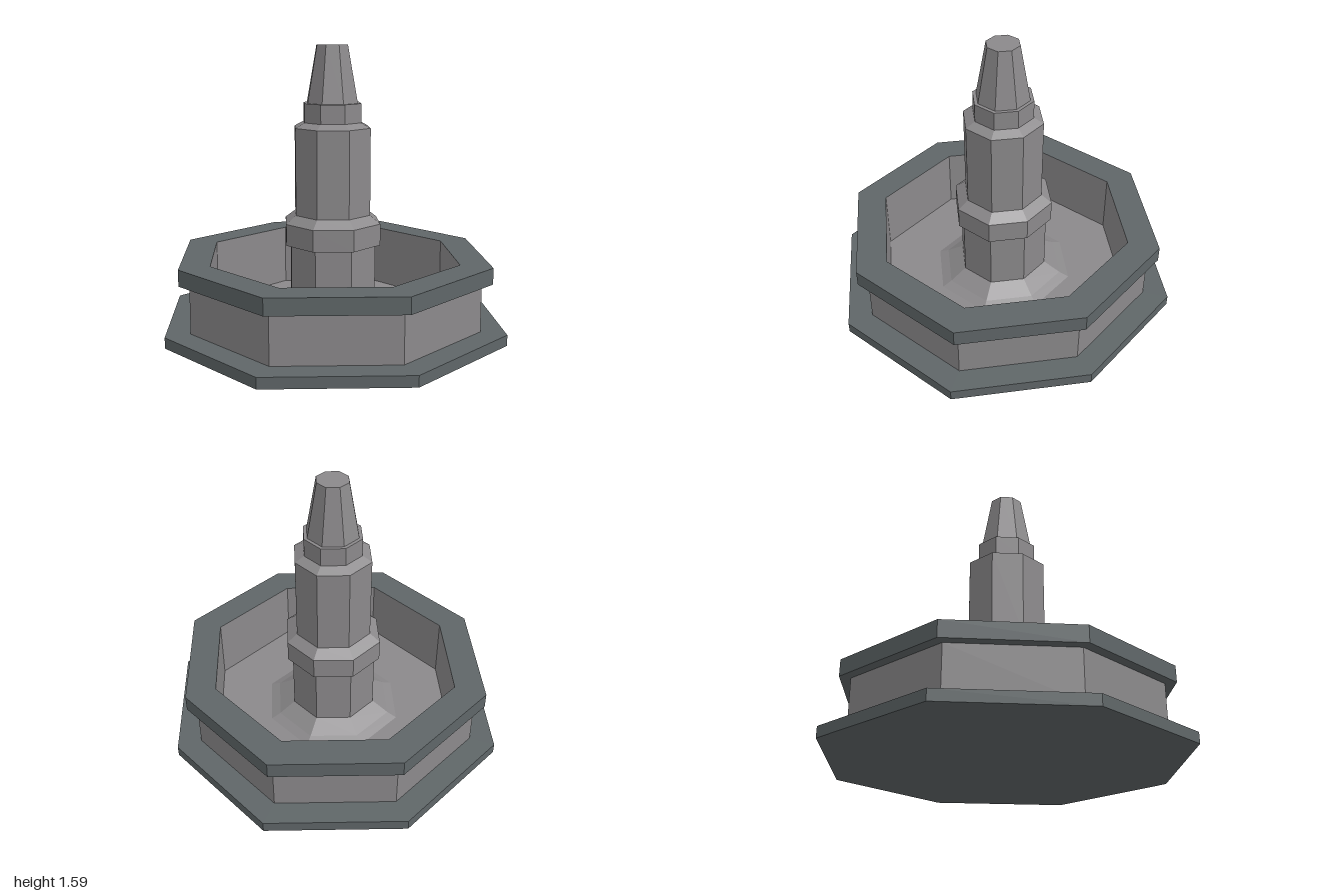
import * as THREE from 'three';

// Eight-sided turned part; the two side corners are pulled in by 3%.
function turned(name, material, profile) {
  const geometry = new THREE.LatheGeometry(profile.map(([r, y]) => new THREE.Vector2(r, y)), 8);
  const p = geometry.attributes.position;
  for (let i = 0; i < p.count; i++) {
    if (Math.abs(p.getZ(i)) < 1e-4) p.setX(i, p.getX(i) * 0.97);
  }
  geometry.computeVertexNormals();
  const mesh = new THREE.Mesh(geometry, material);
  mesh.name = name;
  return mesh;
}

export function createModel() {
  const stone = new THREE.MeshStandardMaterial({ color: 0x8b898b, flatShading: true });
  stone.name = 'stone grey';
  const trim = new THREE.MeshStandardMaterial({ color: 0x5f6668, flatShading: true });
  trim.name = 'dark slate';

  const group = new THREE.Group();
  group.name = 'fountain';
  group.add(
    // Base plate
    turned('basePlate', trim, [[0, 0], [1, 0], [1, 0.06], [0, 0.06]]),
    // Basin: outer wall, inner wall and floor
    turned('basinWall', stone, [[0.855, 0.06], [0.855, 0.33]]),
    turned('basinInside', stone, [[0.735, 0.42], [0.735, 0.066], [0, 0.066]]),
    // Overhanging rim
    turned('basinRim', trim, [[0.855, 0.33], [0.915, 0.33], [0.915, 0.42], [0.735, 0.42]]),
    // Stepped foot and lower column
    turned('columnFoot', stone, [[0.405, 0.066], [0.35, 0.09], [0.255, 0.15]]),
    turned('lowerColumn', stone, [[0.255, 0.1], [0.255, 0.49]]),
    // Collar, shaft and neck
    turned('collar', stone, [[0.255, 0.49], [0.285, 0.49], [0.285, 0.61], [0.225, 0.655]]),
    turned('shaft', stone, [[0.225, 0.655], [0.225, 1.137], [0.17, 1.165]]),
    turned('neck', stone, [[0.17, 1.165], [0.17, 1.27], [0.15, 1.27]]),
    // Tapered spout
    turned('spout', stone, [[0.15, 1.27], [0.092, 1.585], [0, 1.585]])
  );
  return group;
}
